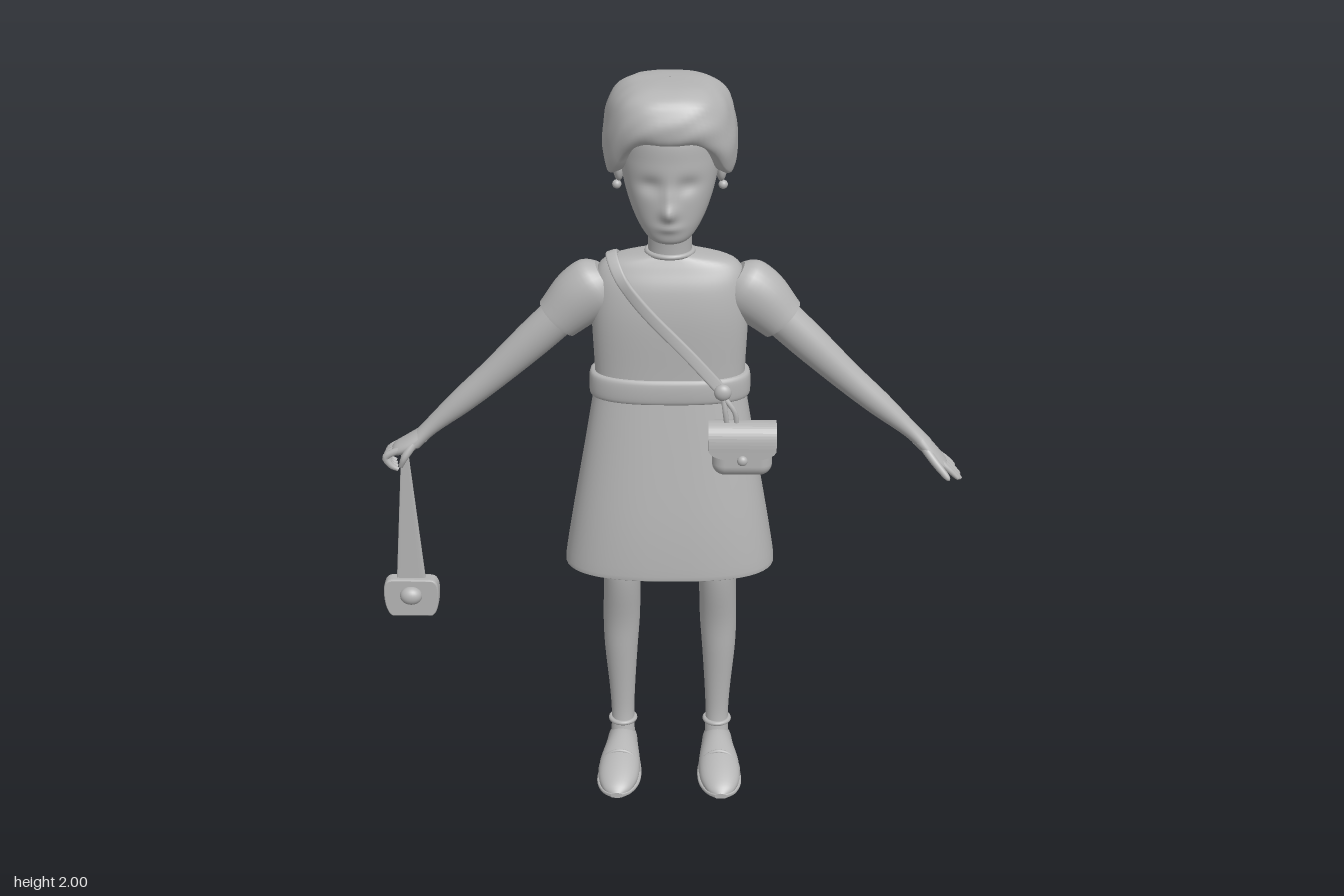
import * as THREE from 'three';
import { RoundedBoxGeometry } from 'three/addons/geometries/RoundedBoxGeometry.js';

const clay = new THREE.MeshStandardMaterial({ color: 0xb4b4b4, side: THREE.DoubleSide });
clay.name = 'grey clay';
const X = new THREE.Vector3(1, 0, 0), Y = new THREE.Vector3(0, 1, 0), Z = new THREE.Vector3(0, 0, 1);

// Smooth interpolation between rows of numbers
function smoothRows(rows, k) {
  const out = [], at = i => rows[Math.max(0, Math.min(rows.length - 1, i))];
  for (let i = 0; i < rows.length - 1; i++) for (let j = 0; j < k; j++) {
    const t = j / k, a = at(i - 1), b = at(i), c = at(i + 1), d = at(i + 2);
    out.push(b.map((_, m) => 0.5 * (2 * b[m] + (c[m] - a[m]) * t + (2 * a[m] - 5 * b[m] + 4 * c[m] - d[m]) * t * t
      + (3 * b[m] - a[m] - 3 * c[m] + d[m]) * t * t * t)));
  }
  out.push(at(rows.length - 1));
  return out;
}

// Skin over superelliptic sections; each row is [x, y, z, radius along ref, other radius]
function loft(rows, { ref = X, dir = null, p = 2, n = 28, k = 4, caps = true } = {}) {
  const rs = smoothRows(rows, k), pos = [], idx = [];
  const ctr = rs.map(r => new THREE.Vector3(r[0], r[1], r[2]));
  rs.forEach((r, i) => {
    const d = dir ? dir.clone()
      : ctr[Math.min(i + 1, rs.length - 1)].clone().sub(ctr[Math.max(i - 1, 0)]).normalize();
    const u = (typeof ref === 'function' ? ref(ctr[i]) : ref.clone());
    u.addScaledVector(d, -u.dot(d)).normalize();
    const v = u.clone().cross(d);
    for (let j = 0; j < n; j++) {
      const t = j / n * Math.PI * 2, c = Math.cos(t), s = Math.sin(t);
      const q = ctr[i].clone()
        .addScaledVector(u, r[3] * Math.sign(c) * Math.abs(c) ** (2 / p))
        .addScaledVector(v, r[4] * Math.sign(s) * Math.abs(s) ** (2 / p));
      pos.push(q.x, q.y, q.z);
    }
  });
  for (let i = 0; i < rs.length - 1; i++) for (let j = 0; j < n; j++) {
    const a = i * n + j, b = i * n + (j + 1) % n;
    idx.push(a, a + n, b, b, a + n, b + n);
  }
  if (caps) for (const end of [0, rs.length - 1]) {
    const base = pos.length / 3;
    pos.push(...pos.slice(end * n * 3, (end + 1) * n * 3), ...ctr[end].toArray());
    for (let j = 0; j < n; j++) {
      const a = base + j, b = base + (j + 1) % n;
      idx.push(base + n, ...(end ? [b, a] : [a, b]));
    }
  }
  return finish(pos, idx);
}
function finish(pos, idx) {
  const g = new THREE.BufferGeometry();
  g.setAttribute('position', new THREE.Float32BufferAttribute(pos, 3));
  g.setIndex(idx);
  g.computeVertexNormals();
  return g;
}
// Move every vertex by a rule
function warp(g, rule) {
  const a = g.attributes.position, v = new THREE.Vector3();
  for (let i = 0; i < a.count; i++) { v.fromBufferAttribute(a, i); rule(v); a.setXYZ(i, v.x, v.y, v.z); }
  g.computeVertexNormals();
  return g;
}

// Hair: a lumpy dome whose rim height follows the hairline
function hairGeometry() {
  const n = 72, pos = [], idx = [];
  const profile = smoothRows([[0.01, 1], [0.36, 0.99], [0.64, 0.94], [0.86, 0.78], [0.97, 0.5], [1, 0.25], [0.96, 0.06], [0.86, 0], [0.5, 0.1]], 4);
  // Hairline heights from the forehead round to the nape
  const line = smoothRows([[1.865], [1.865], [1.835], [1.78], [1.765], [1.81], [1.74], [1.715], [1.705], [1.705]], 8).map(r => r[0]);
  profile.forEach(([f, h]) => {
    for (let j = 0; j < n; j++) {
      const t = j / n * Math.PI * 2, c = Math.cos(t), s = Math.sin(t);
      const m = Math.abs(Math.atan2(c, s)) / Math.PI * (line.length - 1), i = Math.min(line.length - 2, Math.floor(m));
      const rim = line[i] + (line[i + 1] - line[i]) * (m - i);
      const lump = 1 + 0.014 * Math.sin(7 * t + 6 * h) * Math.sin(9 * h + 3 * t);
      const x = Math.sign(c) * Math.abs(c) ** 0.78 * 0.172 * f * lump;
      const z = -0.035 + Math.sign(s) * Math.abs(s) ** 0.78 * (s > 0 ? 0.178 : 0.18) * f * lump;
      pos.push(x, rim + (1.998 - rim) * h, z);
    }
  });
  for (let i = 0; i < profile.length - 1; i++) for (let j = 0; j < n; j++) {
    const a = i * n + j, b = i * n + (j + 1) % n;
    idx.push(a, b, a + n, b, b + n, a + n);
  }
  return finish(pos, idx);
}

export function createModel() {
  const model = new THREE.Group();
  const add = (name, g, x = 0, y = 0, z = 0) => {
    const m = new THREE.Mesh(g, clay);
    m.name = name;
    m.position.set(x, y, z);
    model.add(m);
    return m;
  };
  const ball = (name, r, x, y, z, sx = 1, sy = 1, sz = 1) =>
    add(name, new THREE.SphereGeometry(r, 24, 16), x, y, z).scale.set(sx, sy, sz);

  // Head with soft eye hollows, nose and lips
  const head = loft([[0, 1.592, 0.065, 0.02, 0.02], [0, 1.605, 0.055, 0.052, 0.055], [0, 1.64, 0.033, 0.08, 0.085],
    [0, 1.69, 0.012, 0.103, 0.108], [0, 1.75, -0.005, 0.12, 0.125], [0, 1.81, -0.02, 0.128, 0.14],
    [0, 1.88, -0.03, 0.125, 0.145], [0, 1.94, -0.03, 0.09, 0.1]], { dir: Y, n: 72, k: 8, p: 2.15 });
  const bump = (v, x, y, wx, wy) => Math.exp(-(((v.x - x) / wx) ** 2) - ((v.y - y) / wy) ** 2);
  add('head', warp(head, v => {
    if (v.z > 0.04) v.z += 0.02 * bump(v, 0, 1.685, 0.02, 0.022) + 0.01 * bump(v, 0, 1.72, 0.015, 0.04)
      + 0.008 * bump(v, 0, 1.645, 0.03, 0.012) - 0.012 * (bump(v, 0.047, 1.755, 0.03, 0.022) + bump(v, -0.047, 1.755, 0.03, 0.022));
  }));
  add('hair', hairGeometry());
  add('neck', loft([[0, 1.49, -0.02, 0.062, 0.056], [0, 1.55, -0.017, 0.057, 0.052], [0, 1.64, -0.01, 0.058, 0.055]], { dir: Y }));
  add('neckline', new THREE.TorusGeometry(0.06, 0.007, 10, 32), 0, 1.54, -0.018).rotation.x = Math.PI / 2;

  // Dress
  const dress = { dir: Y, p: 2.6, n: 48 };
  add('bodice', loft([[0, 1.14, -0.015, 0.2, 0.092], [0, 1.22, -0.015, 0.2, 0.092], [0, 1.36, -0.017, 0.206, 0.096],
    [0, 1.45, -0.018, 0.2, 0.086], [0, 1.5, -0.019, 0.185, 0.068], [0, 1.525, -0.019, 0.145, 0.057], [0, 1.54, -0.019, 0.06, 0.05]], dress));
  add('belt', loft([[0, 1.138, -0.016, 0.2, 0.088], [0, 1.145, -0.016, 0.213, 0.1], [0, 1.175, -0.016, 0.215, 0.103],
    [0, 1.203, -0.016, 0.212, 0.1], [0, 1.21, -0.016, 0.2, 0.088]], dress));
  add('skirt', loft([[0, 0.662, -0.012, 0.27, 0.143], [0, 0.652, -0.012, 0.279, 0.15], [0, 0.66, -0.012, 0.285, 0.156],
    [0, 0.8, -0.012, 0.263, 0.143], [0, 1, -0.014, 0.228, 0.115], [0, 1.15, -0.016, 0.203, 0.093]], { ...dress, caps: false }));

  for (const s of [-1, 1]) {
    const side = s > 0 ? 'left' : 'right';
    // Ears and earrings
    ball(side + 'Ear', 0.04, s * 0.132, 1.765, -0.035, 0.38, 1.05, 0.65);
    ball(side + 'Earring', 0.012, s * 0.137, 1.715, -0.03);

    // Sleeves and arms
    add(side + 'Sleeve', loft([[s * 0.165, 1.46, -0.018, 0.05, 0.055], [s * 0.19, 1.443, -0.018, 0.066, 0.08],
      [s * 0.235, 1.41, -0.018, 0.068, 0.08], [s * 0.285, 1.36, -0.018, 0.062, 0.067], [s * 0.297, 1.348, -0.018, 0.06, 0.064]], { ref: Z }));
    add(side + 'Arm', loft([[s * 0.26, 1.385, -0.018, 0.048, 0.053], [s * 0.36, 1.29, -0.018, 0.044, 0.05],
      [s * 0.47, 1.185, -0.02, 0.038, 0.041], [s * 0.56, 1.105, -0.021, 0.034, 0.034], [s * 0.645, 1.03, -0.021, 0.027, 0.022],
      [s * 0.69, 0.985, -0.021, 0.034, 0.02]], { ref: Z }));

    // Legs
    add(side + 'Leg', loft([[s * 0.132, 0.95, -0.01, 0.07, 0.07], [s * 0.132, 0.66, 0, 0.055, 0.052], [s * 0.132, 0.57, -0.006, 0.051, 0.052],
      [s * 0.135, 0.45, -0.027, 0.051, 0.05], [s * 0.137, 0.35, -0.03, 0.046, 0.045], [s * 0.135, 0.22, -0.028, 0.036, 0.033],
      [s * 0.134, 0.13, -0.025, 0.032, 0.03], [s * 0.134, 0.05, -0.012, 0.035, 0.034]], { dir: Y.clone().negate() }));

    // Shoes: flat underneath, with a sole, instep strap and ankle strap
    const shoe = [[s * 0.135, 0.045, -0.047, 0.02, 0.025], [s * 0.135, 0.05, -0.035, 0.038, 0.042], [s * 0.136, 0.045, 0.02, 0.046, 0.053],
      [s * 0.14, 0.035, 0.09, 0.057, 0.045], [s * 0.143, 0.024, 0.15, 0.055, 0.034], [s * 0.145, 0.015, 0.195, 0.037, 0.02], [s * 0.145, 0.01, 0.215, 0.012, 0.006]];
    add(side + 'Shoe', warp(loft(shoe, { dir: Z }), v => { v.y = Math.max(v.y, 0.006); }));
    add(side + 'Sole', loft(shoe.map(r => [r[0], 0.007, r[2], r[3] + 0.004, 0.007]), { dir: Z, p: 4 }));
    add(side + 'ShoeStrap', new THREE.TorusGeometry(0.055, 0.005, 8, 24, Math.PI), s * 0.14, 0.012, 0.095).scale.set(1.02, 1.2, 1);
    add(side + 'AnkleStrap', new THREE.TorusGeometry(0.034, 0.007, 10, 28), s * 0.134, 0.118, -0.022).rotation.x = Math.PI / 2;
  }

  // Open left hand
  add('leftPalm', loft([[0.67, 1.005, -0.021, 0.03, 0.021], [0.7, 0.973, -0.023, 0.041, 0.018], [0.735, 0.937, -0.025, 0.041, 0.013], [0.745, 0.927, -0.025, 0.036, 0.009]], { ref: Z }));
  [[-0.055, 0.775, 0.905], [-0.036, 0.788, 0.889], [-0.015, 0.79, 0.885], [0.005, 0.782, 0.893]].forEach(([z, x, y], i) =>
    add('leftFinger' + (i + 1), loft([[0.725, 0.947, z * 0.85 - 0.004, 0.01, 0.01], [(0.725 + x) / 2, (0.947 + y) / 2 + 0.002, z, 0.009, 0.009],
      [x - 0.004, y + 0.005, z, 0.007, 0.006], [x, y, z, 0.002, 0.002]], { ref: Z, n: 12 })));
  add('leftThumb', loft([[0.685, 0.985, 0, 0.012, 0.012], [0.715, 0.95, 0.025, 0.011, 0.011], [0.745, 0.918, 0.045, 0.008, 0.008], [0.752, 0.91, 0.049, 0.002, 0.002]], { ref: Y, n: 12 }));

  // Right hand closed round the purse handle
  add('rightPalm', loft([[-0.67, 1.005, -0.021, 0.029, 0.021], [-0.705, 0.98, -0.023, 0.038, 0.022], [-0.735, 0.965, -0.025, 0.036, 0.018], [-0.75, 0.955, -0.025, 0.028, 0.01]], { ref: Z }));
  for (let i = 0; i < 4; i++) {
    const z = -0.055 + i * 0.019, e = i * 0.004;
    add('rightFinger' + (i + 1), loft([[-0.725, 0.972, z, 0.009, 0.01], [-0.762 - e / 2, 0.95, z, 0.009, 0.01],
      [-0.768 + e, 0.924, z, 0.008, 0.009], [-0.748 + e, 0.912, z, 0.006, 0.006]], { ref: Z, n: 12 }));
  }
  add('rightThumb', loft([[-0.69, 0.99, 0, 0.012, 0.012], [-0.715, 0.955, 0.016, 0.01, 0.01], [-0.728, 0.925, 0.012, 0.006, 0.006]], { ref: X, n: 12 }));

  // Hand purse with a tapering handle and a round clasp
  add('purseHandle', loft([[-0.72, 0.555, -0.02, 0.041, 0.006], [-0.72, 0.975, -0.02, 0.008, 0.004]], { dir: Y, p: 6, k: 1 }));
  const purse = new THREE.Shape();
  purse.moveTo(-0.055, -0.058);
  purse.lineTo(0.055, -0.058);
  purse.bezierCurveTo(0.072, -0.05, 0.077, -0.015, 0.077, 0.015);
  purse.bezierCurveTo(0.077, 0.045, 0.068, 0.056, 0.05, 0.056);
  purse.lineTo(-0.05, 0.056);
  purse.bezierCurveTo(-0.068, 0.056, -0.077, 0.045, -0.077, 0.015);
  purse.bezierCurveTo(-0.077, -0.015, -0.072, -0.05, -0.055, -0.058);
  add('purse', new THREE.ExtrudeGeometry(purse, { depth: 0.026, bevelSize: 0.004, bevelThickness: 0.008, bevelSegments: 4, bevelOffset: -0.004, curveSegments: 10 }), -0.72, 0.513, -0.033);
  ball('purseClasp', 0.031, -0.72, 0.523, 0.004, 1, 0.85, 0.75);

  // Shoulder strap crossing front and back
  const middle = new THREE.Vector3(0, 1.35, -0.016);
  const outward = c => new THREE.Vector3((c.x - middle.x) * 0.3, Math.max(0, c.y - 1.46) * 2, c.z - middle.z);
  add('shoulderStrap', loft([[0.14, 1.18, 0.079], [0.05, 1.285, 0.083], [-0.06, 1.4, 0.074], [-0.125, 1.48, 0.048], [-0.152, 1.531, -0.015],
    [-0.125, 1.48, -0.086], [-0.06, 1.4, -0.113], [0.05, 1.285, -0.115], [0.14, 1.19, -0.106]].map(r => [...r, 0.007, 0.016]), { ref: outward, p: 4, n: 16, k: 6 }));
  ball('strapButton', 0.023, 0.14, 1.182, 0.09, 1, 1, 0.7);
  for (const x of [0.147, 0.172])
    add('pouchLoop', loft([[0.142, 1.17, 0.092, 0.007, 0.005], [x, 1.13, 0.098, 0.007, 0.005], [x + 0.006, 1.085, 0.095, 0.007, 0.005]], { n: 10 }));

  // Belt pouch: rounded body, curved flap and buckle
  add('pouch', new RoundedBoxGeometry(0.16, 0.13, 0.074, 5, 0.034), 0.193, 1.015, 0.092);
  const flap = new THREE.Shape();
  flap.moveTo(-0.045, 1.03);
  flap.lineTo(0.045, 1.03);
  flap.bezierCurveTo(0.047, 1.075, 0.035, 1.1, 0, 1.1);
  flap.bezierCurveTo(-0.035, 1.1, -0.047, 1.075, -0.045, 1.03);
  const flapGeometry = new THREE.ExtrudeGeometry(flap, { depth: 0.18, bevelEnabled: false, curveSegments: 12 });
  flapGeometry.rotateY(-Math.PI / 2);
  add('pouchFlap', flapGeometry, 0.283, 0, 0.092);
  const lip = new THREE.CylinderGeometry(0.088, 0.088, 0.012, 36, 1, false, -Math.PI / 2, Math.PI);
  lip.rotateX(Math.PI / 2);
  add('pouchFlapLip', lip, 0.193, 1.032, 0.131).scale.set(1, 0.32, 1);
  ball('pouchBuckle', 0.014, 0.193, 1.008, 0.141, 1, 1, 0.8);
  return model;
}
